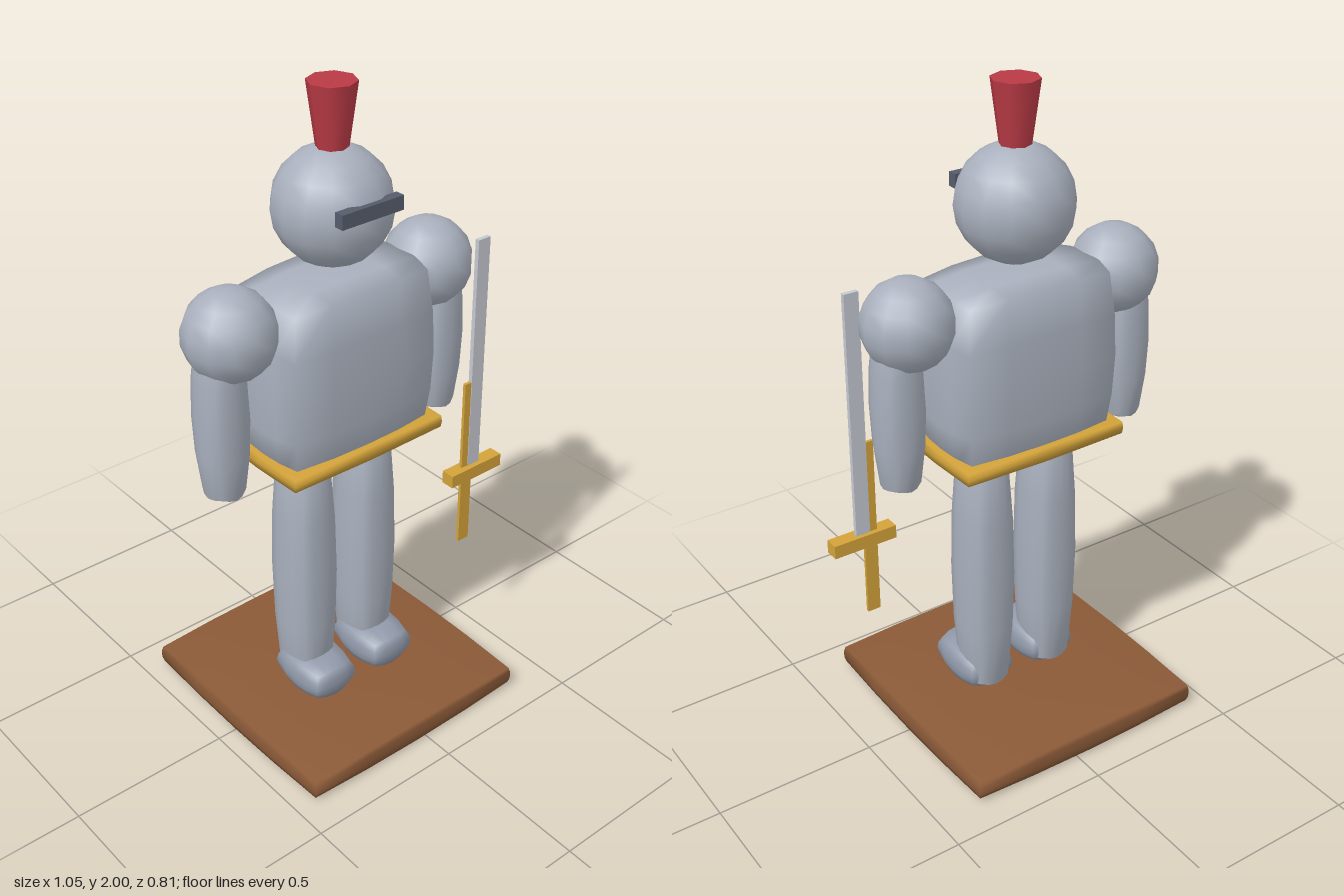
import * as THREE from 'three';
import { mergeVertices } from 'three/addons/utils/BufferGeometryUtils.js';

const CX = -0.04; // mirror plane of the figure

const mat = (color) => new THREE.MeshStandardMaterial({ color });
const steel = mat(0xa9b0bd), bootSteel = mat(0x929bab), gold = mat(0xd2a23a);
const red = mat(0xb93a45), wood = mat(0x8b5a38), slit = mat(0x565c6c), bladeSteel = mat(0xc4c8d0);

// Box whose faces swell: each axis shrinks by its inset towards the edges; smooth normals
function swollenBox(size, inset, seg) {
  let geo = new THREE.BoxGeometry(2, 2, 2, seg, seg, seg);
  geo.deleteAttribute('uv');
  geo.deleteAttribute('normal');
  geo = mergeVertices(geo);
  const pos = geo.attributes.position;
  for (let i = 0; i < pos.count; i++) {
    const p = [pos.getX(i), pos.getY(i), pos.getZ(i)];
    const q = p.map((v, a) => {
      const u = p[(a + 1) % 3], w = p[(a + 2) % 3];
      return v * (size[a] / 2 - inset[a] * (u * u + w * w) / 2);
    });
    pos.setXYZ(i, ...q);
  }
  geo.computeVertexNormals();
  return geo;
}

export function createModel() {
  const model = new THREE.Group();
  model.name = 'toyKnight';

  const add = (name, geo, material, x, y, z) => {
    const mesh = new THREE.Mesh(geo, material);
    mesh.name = name;
    mesh.position.set(x, y, z);
    model.add(mesh);
    return mesh;
  };
  const box = (w, h, d) => new THREE.BoxGeometry(w, h, d);

  // Stand
  add('base', swollenBox([0.81, 0.09, 0.81], [0.01, 0.016, 0.01], 4), wood, CX, 0.045, 0);

  // Body
  add('torso', swollenBox([0.54, 0.57, 0.33], [0.035, 0.03, 0.035], 4), steel, CX, 1.18, 0);
  add('belt', swollenBox([0.555, 0.05, 0.345], [0.005, 0.006, 0.005], 2), gold, CX, 0.942, 0);

  // Head
  add('helmet', new THREE.SphereGeometry(0.172, 14, 10), steel, CX, 1.655, 0);
  add('visorSlit', box(0.21, 0.042, 0.03), slit, CX - 0.005, 1.69, 0.16);
  add('plume', new THREE.CylinderGeometry(0.07, 0.043, 0.2, 8), red, CX, 1.9, 0);

  // Limbs, mirrored about the figure's middle
  const shoulderGeo = new THREE.SphereGeometry(0.135, 12, 9);
  const armGeo = swollenBox([0.138, 0.52, 0.148], [0.027, 0.03, 0.027], 4);
  const legGeo = swollenBox([0.156, 0.81, 0.18], [0.027, 0.02, 0.027], 4);
  const footGeo = swollenBox([0.176, 0.12, 0.225], [0.024, 0.02, 0.024], 4);
  for (const [side, s] of [['right', -1], ['left', 1]]) {
    add(side + 'Shoulder', shoulderGeo, steel, CX + s * 0.353, 1.38, 0);
    add(side + 'Arm', armGeo, steel, CX + s * 0.395, 1.14, 0);
    add(side + 'Leg', legGeo, steel, CX + s * 0.116, 0.5, 0);
    add(side + 'Foot', footGeo, bootSteel, CX + s * 0.116, 0.14, 0.05);
  }

  // Sword at the left hand
  add('swordBlade', box(0.046, 0.78, 0.014), bladeSteel, 0.422, 1.07, 0.116);
  add('swordGuard', box(0.206, 0.042, 0.045), gold, 0.422, 0.67, 0.118);
  add('swordGrip', box(0.042, 0.58, 0.01), gold, 0.396, 0.7, 0.116);

  return model;
}
